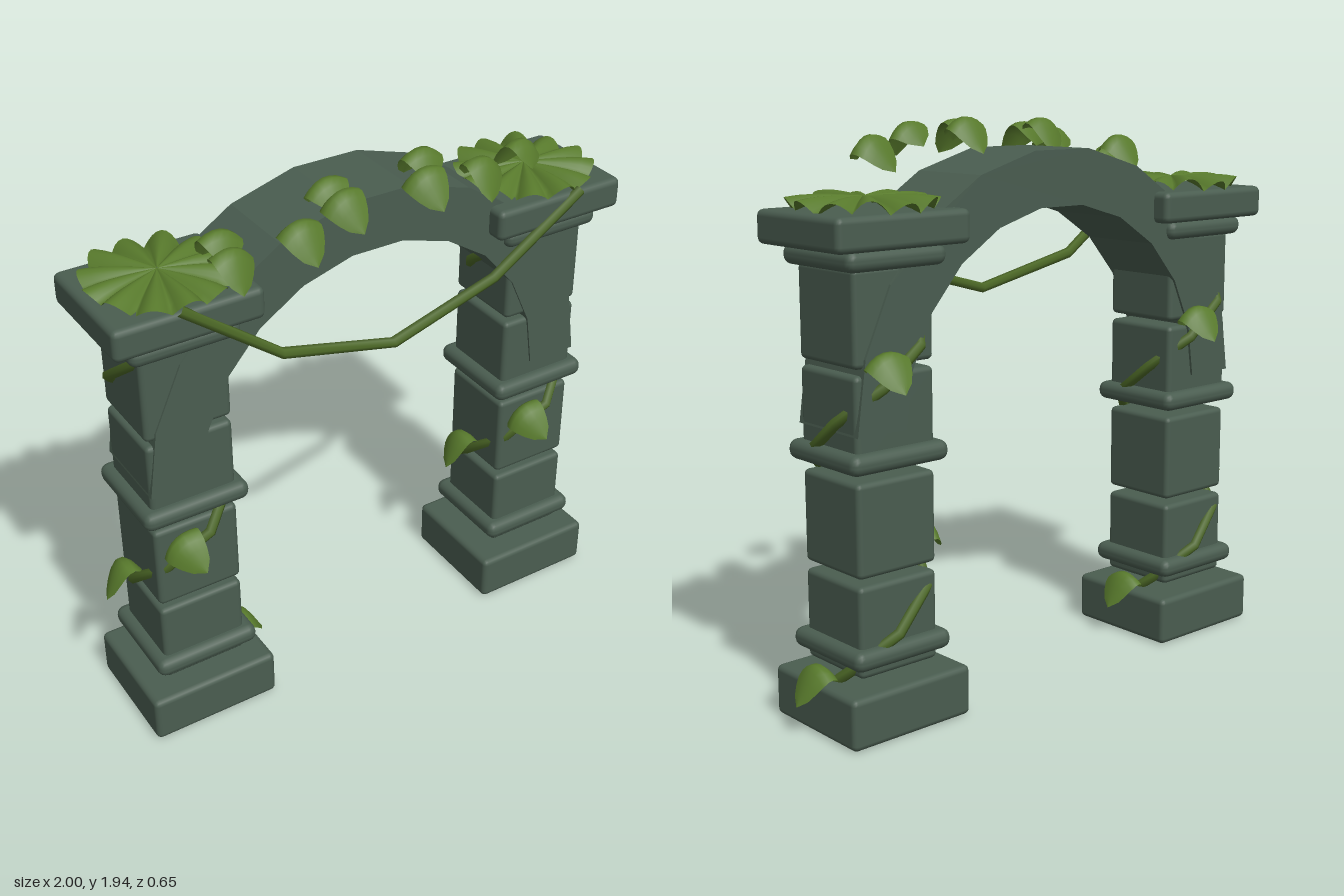
import * as THREE from 'three';
import { RoundedBoxGeometry } from 'three/addons/geometries/RoundedBoxGeometry.js';

const stone = new THREE.MeshStandardMaterial({ color: 0x4a5d50 });
stone.name = 'mossy stone';
const leafGreen = new THREE.MeshStandardMaterial({ color: 0x587a2c, side: THREE.DoubleSide });
leafGreen.name = 'leaf green';
const vineGreen = new THREE.MeshStandardMaterial({ color: 0x4c6826 });
vineGreen.name = 'vine green';

const PILLAR_X = [-0.742, 0.662];
const MID_X = -0.04, MID_Z = -0.033;

function add(parent, name, geometry, material, x = 0, y = 0, z = 0) {
  const mesh = new THREE.Mesh(geometry, material);
  mesh.name = name;
  mesh.position.set(x, y, z);
  parent.add(mesh);
  return mesh;
}

// Rounded stone between two heights
function stoneBlock(parent, name, w, d, y0, y1, radius) {
  add(parent, name, new RoundedBoxGeometry(w, y1 - y0, d, 2, radius), stone, 0, (y0 + y1) / 2, 0);
}

// Arched leaf growing from its base along +z, pointed at the tip
function makeLeafGeometry() {
  const geo = new THREE.PlaneGeometry(2, 1, 6, 8);
  const p = geo.attributes.position;
  for (let i = 0; i < p.count; i++) {
    const v = p.getX(i), u = 0.5 - p.getY(i);
    const half = 0.075 * Math.pow(Math.sin(Math.PI * Math.pow(u, 0.85)), 0.65);
    const y = 0.085 * Math.sin(Math.PI * u * 1.15) - 0.035 * v * v * Math.sin(Math.PI * u);
    p.setXYZ(i, v * half, y, u * 0.155);
  }
  geo.computeVertexNormals();
  return geo;
}
const leafGeometry = makeLeafGeometry();

function leaf(parent, name, x, y, z, yaw, roll = 0, pitch = 0) {
  const mesh = add(parent, name, leafGeometry, leafGreen, x, y, z);
  mesh.rotation.set(pitch, yaw, roll, 'YXZ');
}

// Ruffled, scalloped mat of leaves lying on a capital
function makeMatGeometry() {
  const R = 0.235, lobes = 12;
  const geo = new THREE.RingGeometry(0.002, R, 96, 6);
  geo.rotateX(-Math.PI / 2);
  const p = geo.attributes.position;
  for (let i = 0; i < p.count; i++) {
    const x = p.getX(i), z = p.getZ(i);
    const t = Math.hypot(x, z) / R, a = Math.atan2(z, x);
    const crest = Math.abs(Math.cos(a * lobes / 2));
    const grow = 1 + t * t * (0.1 * crest - 0.06);
    const y = 0.03 + t * (0.04 * crest - 0.028) - 0.016 * t ** 4 + 0.006 * t * Math.sin(a * 5);
    p.setXYZ(i, x * grow, y, z * grow);
  }
  geo.computeVertexNormals();
  return geo;
}

// Point on the climbing vine; angle 0 is the front, growing toward +x
function helixPoint(angle, r = 0.184) {
  return new THREE.Vector3(Math.sin(angle) * r, 0.77 + 0.83 * angle / (2 * Math.PI), Math.cos(angle) * r);
}

function pillar(x) {
  const g = new THREE.Group();
  g.name = 'pillar';
  g.position.set(x, 0, MID_Z);

  stoneBlock(g, 'base', 0.475, 0.44, 0, 0.172, 0.02);
  for (const [y0, y1] of [[0.2, 0.505], [0.53, 0.84], [0.87, 1.18], [1.2, 1.51]])
    stoneBlock(g, 'shaftBlock', 0.308, 0.3, y0, y1, 0.018);
  for (const y of [0.235, 0.872, 1.5])
    stoneBlock(g, 'shaftRing', 0.382, 0.372, y, y + 0.067, 0.03);
  stoneBlock(g, 'capital', 0.513, 0.442, 1.565, 1.675, 0.022);
  add(g, 'leafMat', makeMatGeometry(), leafGreen, 0, 1.685, 0);

  // Coarse spiral vine
  const points = [];
  const steps = 12, a0 = -1.6 * Math.PI, a1 = 1.72 * Math.PI;
  for (let i = 0; i <= steps; i++) points.push(helixPoint(a0 + (a1 - a0) * i / steps));
  add(g, 'climbingVine', new THREE.TubeGeometry(new THREE.CatmullRomCurve3(points), steps, 0.019, 6), vineGreen);

  // Leaves pointing outward from the vine
  const q = Math.PI / 2;
  leaf(g, 'vineLeaf', 0.15, 0.145, 0, q);
  leaf(g, 'vineLeaf', -0.135, 0.56, 0.0, -q, 0.35);
  leaf(g, 'vineLeaf', -0.04, 0.75, 0.125, -0.1, 0.6);
  leaf(g, 'vineLeaf', 0.06, 1.175, -0.145, 2 * q - 0.15, 0.2);
  return g;
}

// Half-ring arch with flat facets
function makeArchGeometry() {
  const n = 11, shape = [];
  const ring = (r, i) => new THREE.Vector2(Math.cos(Math.PI * i / n) * r, Math.sin(Math.PI * i / n) * r);
  for (let i = 0; i <= n; i++) shape.push(ring(0.857, i));
  for (let i = n; i >= 0; i--) shape.push(ring(0.667, i));
  return new THREE.ExtrudeGeometry(new THREE.Shape(shape), { depth: 0.316, bevelEnabled: false });
}

export function createModel() {
  const model = new THREE.Group();
  model.name = 'overgrownArch';

  for (const x of PILLAR_X) model.add(pillar(x));
  add(model, 'arch', makeArchGeometry(), stone, MID_X, 0.99, -0.192);

  // Vine hanging between the capitals
  const sag = [[-0.78, 1.685, 0.185], [-0.48, 1.44, 0.2], [-0.04, 1.335, 0.21], [0.36, 1.44, 0.2], [0.74, 1.675, 0.185]];
  const path = new THREE.CurvePath();
  for (let i = 0; i < 4; i++)
    path.add(new THREE.LineCurve3(new THREE.Vector3(...sag[i]), new THREE.Vector3(...sag[i + 1])));
  add(model, 'hangingVine', new THREE.TubeGeometry(path, 4, 0.019, 6), vineGreen);

  // Leaves over the arch: x, base y, base z, yaw, roll
  const B = Math.PI;
  const crown = [
    [-0.6, 1.78, 0.17, B, 0.2], [-0.6, 1.74, 0.09, 0.1, -0.2], [-0.39, 1.81, 0.165, 0.05, 0.1],
    [-0.205, 1.85, 0.165, B, -0.2], [-0.195, 1.835, 0.105, 0.05, 0.3], [0.14, 1.86, 0.16, B, 0.1],
    [0.094, 1.85, 0.135, -0.05, 0.3], [0.27, 1.845, 0.155, 0.05, -0.3], [0.52, 1.81, 0.19, B + 0.2, 0.35],
  ];
  for (const [x, y, z, yaw, roll] of crown) leaf(model, 'crownLeaf', x, y, z, yaw, roll);

  return model;
}
